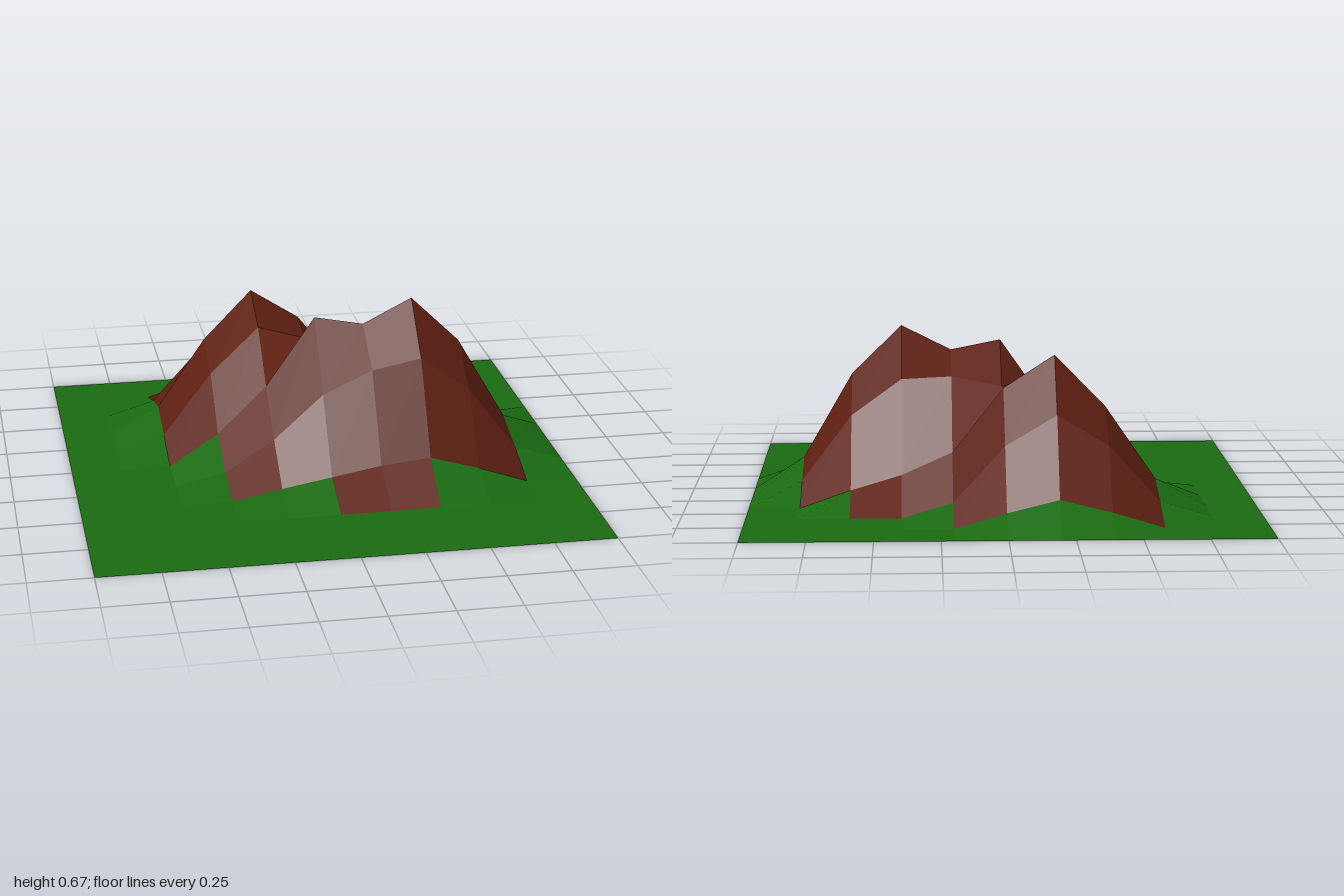
import * as THREE from 'three';

const CELL = 0.2;

// Heights of the raised ground: rows run z = -0.8 to 0.4, columns x = -0.6 to 0.8
const HEIGHTS = [
  [0, 0.06, 0.11, 0.06, 0, 0, 0, 0],
  [0.06, 0.28, 0.4, 0.28, 0.06, 0, 0, 0],
  [0.11, 0.4, 0.605, 0.475, 0.22, 0.13, 0.07, 0],
  [0.06, 0.32, 0.51, 0.45, 0.49, 0.48, 0.335, 0.07],
  [0, 0.13, 0.325, 0.61, 0.57, 0.67, 0.475, 0.13],
  [0, 0.04, 0.17, 0.35, 0.44, 0.48, 0.335, 0.07],
  [0, 0, 0.04, 0.075, 0.11, 0.13, 0.07, 0],
];

// Rocky cells in each row of the 10 x 10 grid: first column, end column
const ROCK = [[0, 0], [2, 6], [2, 8], [2, 9], [2, 9], [3, 9], [3, 9], [5, 7], [0, 0], [0, 0]];

// Grid point: column i and row j, both 0 to 10
function point(i, j) {
  const y = HEIGHTS[j - 1]?.[i - 2] ?? 0;
  return new THREE.Vector3(i * CELL - 1, y, j * CELL - 1);
}

// Flat-shaded sheet made of the cells that pass the test
function terrain(name, color, test) {
  const positions = [];
  const normals = [];
  for (let j = 0; j < 10; j++) {
    for (let i = 0; i < 10; i++) {
      if (!test(i, j)) continue;
      const a = point(i, j);
      const b = point(i, j + 1);
      const c = point(i + 1, j + 1);
      const d = point(i + 1, j);
      // One normal per square keeps each facet even
      const n = c.clone().sub(a).cross(d.clone().sub(b)).normalize();
      for (const p of [a, b, d, b, c, d]) {
        positions.push(p.x, p.y, p.z);
        normals.push(n.x, n.y, n.z);
      }
    }
  }
  const geometry = new THREE.BufferGeometry();
  geometry.setAttribute('position', new THREE.Float32BufferAttribute(positions, 3));
  geometry.setAttribute('normal', new THREE.Float32BufferAttribute(normals, 3));
  const material = new THREE.MeshStandardMaterial({ color, side: THREE.DoubleSide });
  const mesh = new THREE.Mesh(geometry, material);
  mesh.name = name;
  return mesh;
}

export function createModel() {
  const group = new THREE.Group();
  group.name = 'mountainTerrain';
  const isRock = (i, j) => i >= ROCK[j][0] && i < ROCK[j][1];
  group.add(terrain('rockyPeaks', 0x5e1f12, isRock));
  group.add(terrain('grassGround', 0x1a6b12, (i, j) => !isRock(i, j)));
  return group;
}
